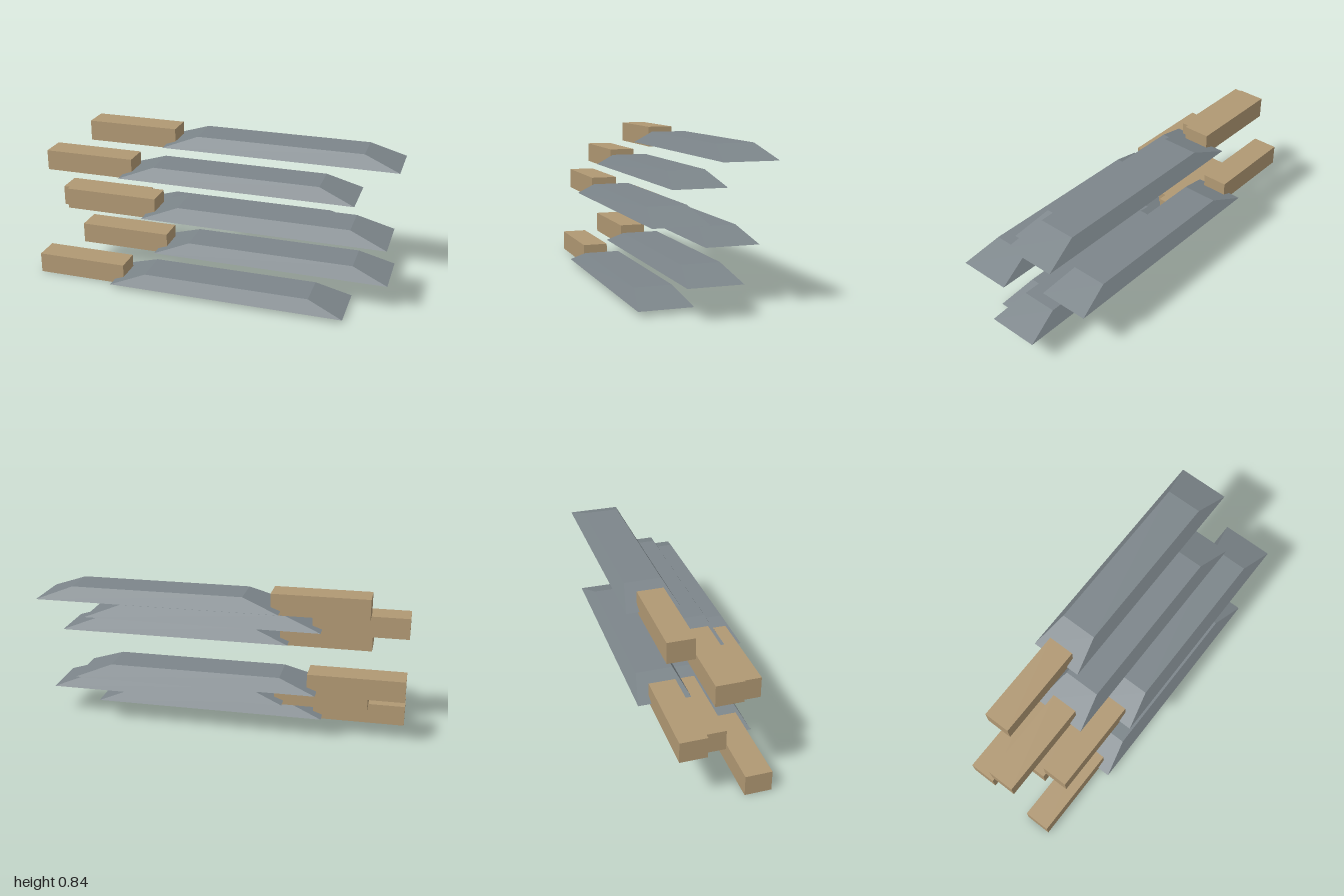
import * as THREE from 'three';

const wood = new THREE.MeshStandardMaterial({ color: 0xb09873 });
wood.name = 'wood';
const steel = new THREE.MeshStandardMaterial({ color: 0x7c858a });
steel.name = 'steel';

// Box whose upper face is narrowed, giving four sloping sides
function bevelledBar(length, height, depth, topLength, topDepth) {
  const geo = new THREE.BoxGeometry(length, height, depth).toNonIndexed();
  const pos = geo.attributes.position;
  for (let i = 0; i < pos.count; i++) {
    if (pos.getY(i) > 0) {
      pos.setX(i, pos.getX(i) * topLength / length);
      pos.setZ(i, pos.getZ(i) * topDepth / depth);
    }
  }
  geo.computeVertexNormals();
  return geo;
}

export function createModel() {
  const model = new THREE.Group();
  model.name = 'bladeStack';

  const handleGeo = new THREE.BoxGeometry(0.52, 0.116, 0.145);
  const bladeGeo = bevelledBar(1.33, 0.072, 0.288, 0.936, 0.203);

  // Six blades stepped upward, staggered in x and cycling through three z rows
  for (let i = 0; i < 6; i++) {
    const knife = new THREE.Group();
    knife.name = `knife${i + 1}`;
    knife.position.set((i % 2) * 0.203, i * 0.1452, 0.1735 * (1 - (i % 3)));

    const handle = new THREE.Mesh(handleGeo, wood);
    handle.name = 'handle';
    handle.position.set(-0.74, 0.058, 0);

    const blade = new THREE.Mesh(bladeGeo, steel);
    blade.name = 'blade';
    blade.position.set(0.132, 0.06, 0);

    knife.add(handle, blade);
    model.add(knife);
  }
  return model;
}
